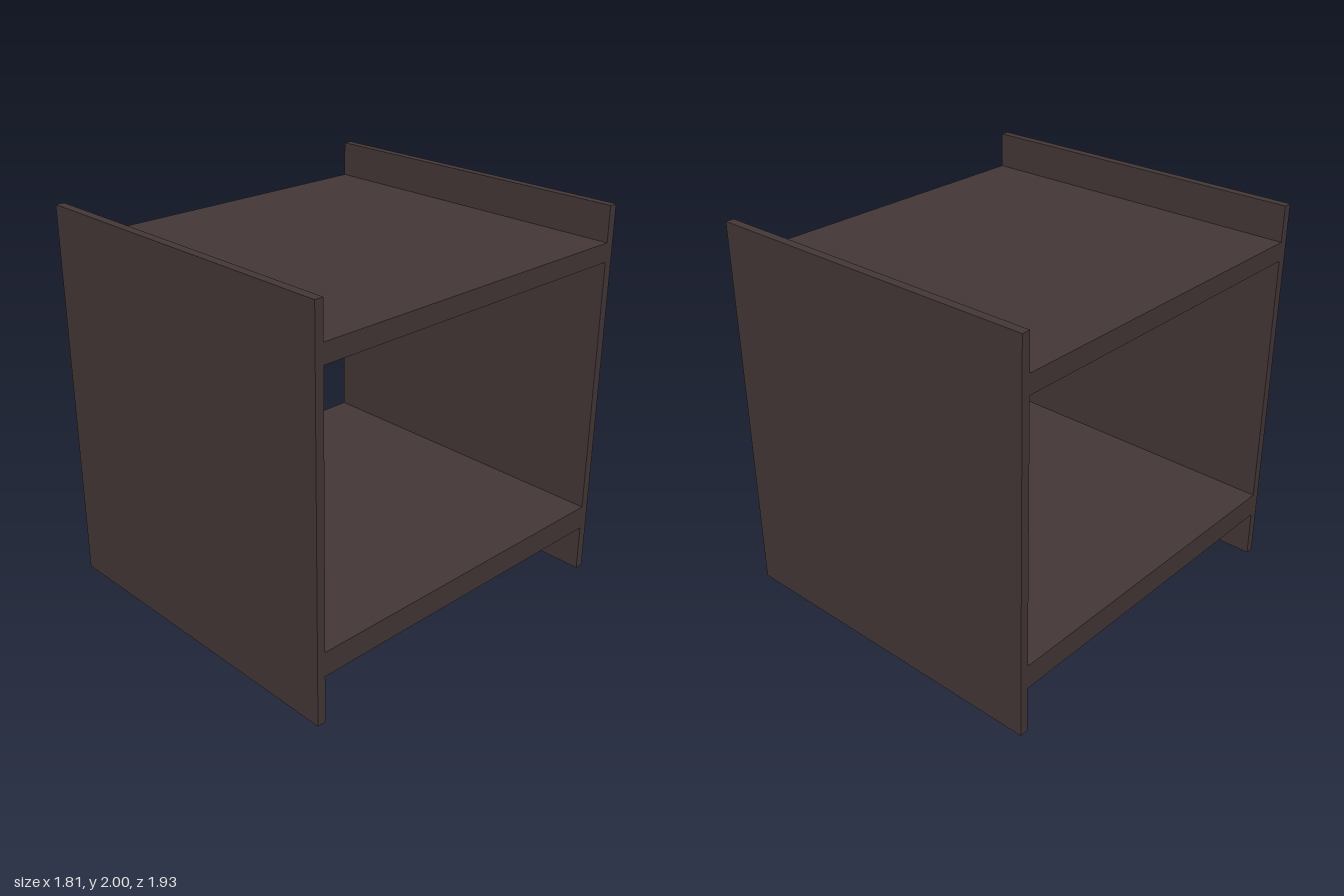
import * as THREE from 'three';

export function createModel() {
  const group = new THREE.Group();
  const darkWood = new THREE.MeshStandardMaterial({ color: 0x433636 });
  darkWood.name = 'darkWood';

  const width = 1.81, outerZ = 0.967, innerZ = 0.922;

  // Board spanning the full width between the given heights and depths
  function board(name, y0, y1, z0, z1) {
    const mesh = new THREE.Mesh(new THREE.BoxGeometry(width, y1 - y0, z1 - z0), darkWood);
    mesh.position.set(0, (y0 + y1) / 2, (z0 + z1) / 2);
    mesh.name = name;
    group.add(mesh);
  }

  // Upright end panels
  board('frontPanel', 0, 2, innerZ, outerZ);
  board('backPanel', 0, 2, -outerZ, -innerZ);

  // Horizontal boards between the panels
  board('topShelf', 1.72, 1.817, -innerZ, innerZ);
  board('bottomShelf', 0.248, 0.374, -innerZ, innerZ);

  return group;
}
